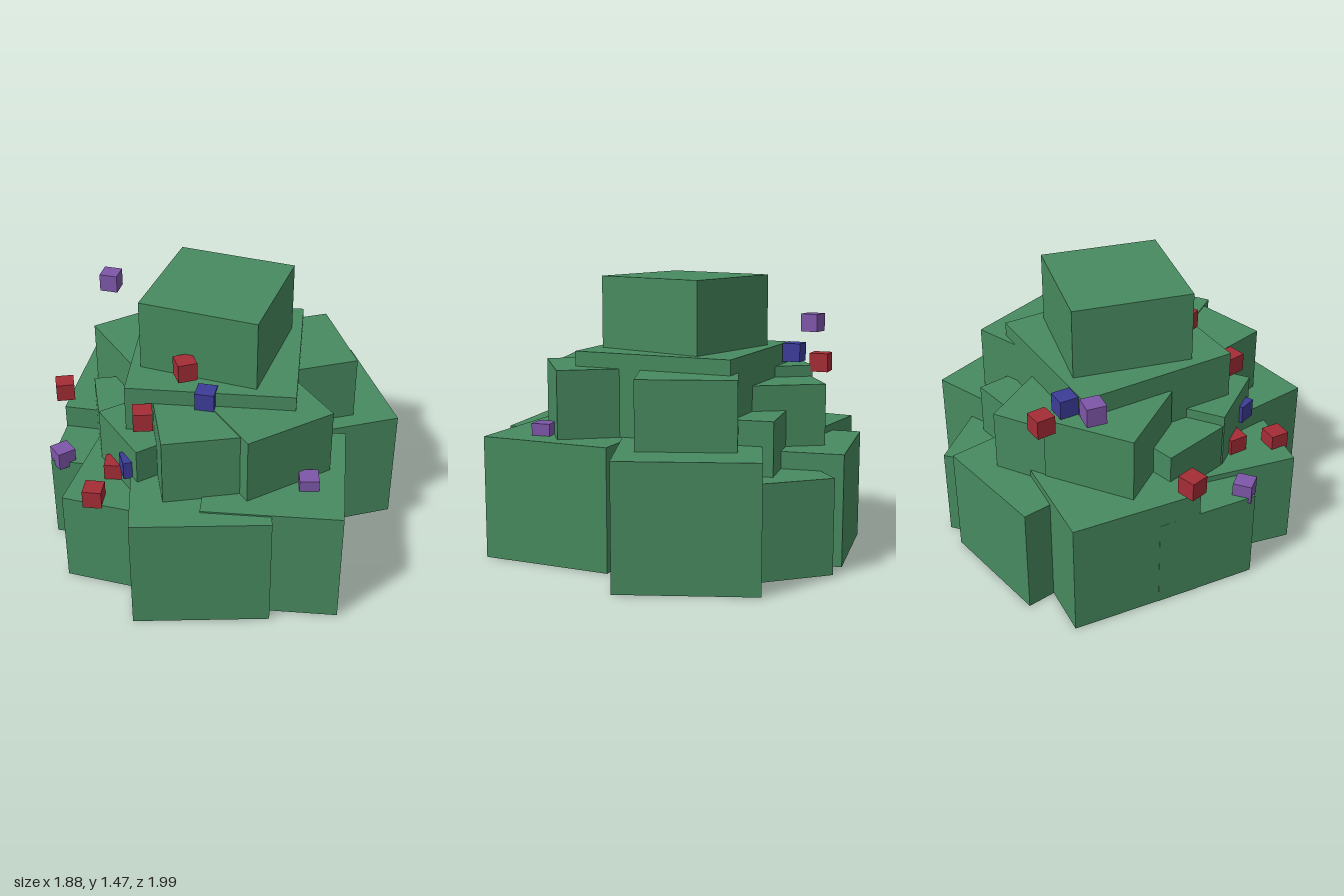
import * as THREE from 'three';

export function createModel() {
  const model = new THREE.Group();
  const paint = (name, color) => {
    const m = new THREE.MeshStandardMaterial({ color });
    m.name = name;
    return m;
  };
  const green = paint('leaf green', 0x478a5f);
  const red = paint('berry red', 0xa52d36);
  const blue = paint('berry blue', 0x3c3c99);
  const purple = paint('berry purple', 0x7d56a8);

  // Square block standing between two heights, turned about the vertical axis
  const block = (name, material, x, z, size, bottom, top, degrees) => {
    const mesh = new THREE.Mesh(new THREE.BoxGeometry(size, top - bottom, size), material);
    mesh.name = name;
    mesh.position.set(x, (top + bottom) / 2, z);
    mesh.rotation.y = THREE.MathUtils.degToRad(degrees);
    model.add(mesh);
  };

  // Lower ring of foliage: x, z, size, turn
  [
    [0.443, 0.337, 0.715, 13.8],
    [0.095, 0.535, 0.706, 20.7],
    [-0.3, 0.465, 0.585, 3.2],
    [-0.559, 0.153, 0.55, 9.5],
    [-0.55, -0.245, 0.693, 8.7],
    [-0.295, -0.545, 0.65, 22.6],
    [0.098, -0.62, 0.55, -33.5],
    [0.44, -0.415, 0.718, 34.8],
  ].forEach(([x, z, s, turn]) => block('lowerFoliage', green, x, z, s, 0, s * 0.907, turn));

  // Middle ring of foliage, sunk into the lower one
  [
    [0.35, 0.263, 0.503, 49.5],
    [0.084, 0.417, 0.5, 27.8],
    [-0.228, 0.358, 0.415, -39.6],
    [-0.443, 0.115, 0.388, 27.9],
    [-0.447, -0.212, 0.487, -40.5],
    [-0.257, -0.442, 0.457, -42.7],
    [0.09, -0.495, 0.39, 22.6],
    [0.352, -0.34, 0.503, 34.5],
  ].forEach(([x, z, s, turn]) => block('middleFoliage', green, x, z, s, s * 1.09, s * 2, turn));

  // Upper slab and crown
  block('upperFoliage', green, -0.005, -0.045, 0.87, 0.3, 1.085, 13.6);
  block('crownFoliage', green, -0.005, -0.045, 0.63, 0.9, 1.465, 0);

  // Small cube berries: material, x, y, z, turn
  [
    [red, -0.525, 0.99, -0.575, 17],
    [red, -0.86, 0.715, 0.095, 28],
    [red, -0.055, 1.165, 0.32, 37],
    [red, -0.21, 0.96, 0.525, 23],
    [red, -0.415, 0.56, 0.725, 12],
    [red, -0.395, 0.57, 0.495, 15],
    [blue, -0.465, 1.04, -0.44, 13],
    [blue, 0.075, 1.045, 0.37, 8],
    [blue, -0.265, 0.685, 0.575, 35],
    [purple, -0.76, 1.175, -0.375, 5],
    [purple, -0.73, 0.52, 0.43, -37],
    [purple, 0.635, 0.662, 0.395, 20],
  ].forEach(([mat, x, y, z, turn]) => block('berry', mat, x, z, 0.1, y - 0.05, y + 0.05, turn));

  return model;
}
